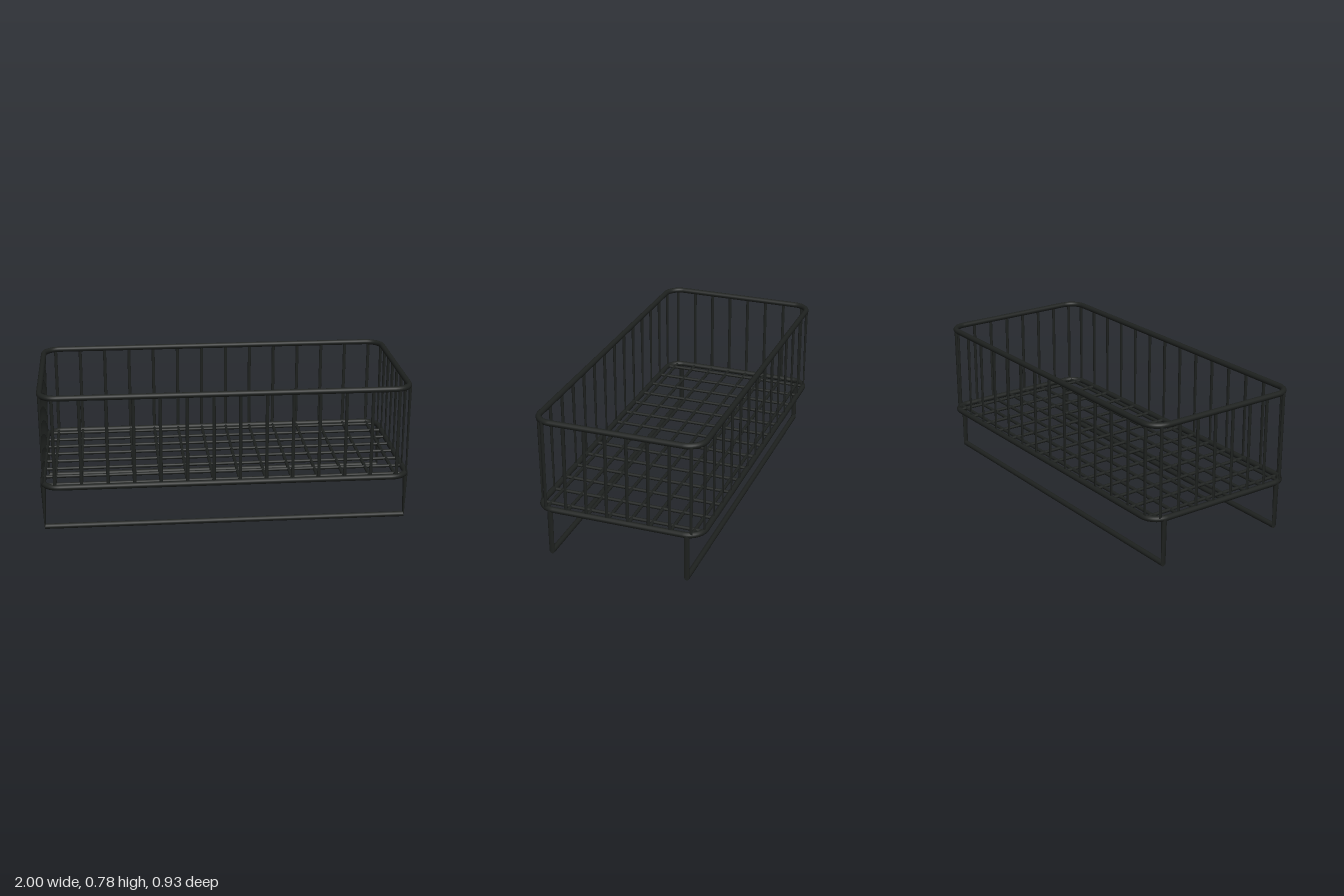
import * as THREE from 'three';

const HX = 0.985, HZ = 0.447;      // rim centre lines
const TOP = 0.768, BASE = 0.268;   // rim heights
const RIM = 0.0155, WIRE = 0.009, LEG = 0.0145, CORNER = 0.09;
const SKID_Y = 0.0155, SKID_Z = 0.375;

export function createModel() {
  const model = new THREE.Group();
  const metal = new THREE.MeshStandardMaterial({ color: 0x1e211f });

  const group = (name) => {
    const g = new THREE.Group();
    g.name = name;
    model.add(g);
    return g;
  };
  const add = (parent, name, geometry, x, y, z) => {
    const mesh = new THREE.Mesh(geometry, metal);
    mesh.name = name;
    mesh.position.set(x, y, z);
    parent.add(mesh);
    return mesh;
  };

  // Round rod along x or z
  const rod = (axis, r, length) => {
    const g = new THREE.CylinderGeometry(r, r, length, 12);
    return axis === 'x' ? g.rotateZ(Math.PI / 2) : g.rotateX(Math.PI / 2);
  };

  // Upright rod that flattens toward its lower end along one axis
  const upright = (axis, r, length, flat) => {
    const g = new THREE.CylinderGeometry(r, r, length, 12);
    const p = g.attributes.position;
    for (let i = 0; i < p.count; i++) {
      const s = THREE.MathUtils.lerp(flat, 1, p.getY(i) / length + 0.5);
      if (axis === 'x') p.setX(i, p.getX(i) * s);
      else p.setZ(i, p.getZ(i) * s);
    }
    g.computeVertexNormals();
    return g;
  };

  // Rounded rectangular rims
  for (const [name, y] of [['topRim', TOP], ['baseRim', BASE]]) {
    const rim = group(name);
    for (const s of [-1, 1]) {
      add(rim, 'longRail', rod('x', RIM, 2 * (HX - CORNER)), 0, y, s * HZ);
      add(rim, 'shortRail', rod('z', RIM, 2 * (HZ - CORNER)), s * HX, y, 0);
    }
    [[1, 1], [1, -1], [-1, -1], [-1, 1]].forEach(([sx, sz], k) => {
      const bend = new THREE.TorusGeometry(CORNER, RIM, 12, 10, Math.PI / 2)
        .rotateX(Math.PI / 2).rotateY(k * Math.PI / 2);
      add(rim, 'cornerBend', bend, sx * (HX - CORNER), y, sz * (HZ - CORNER));
    });
  }

  // U-shaped wires: a floor rod with an upright at each end
  const height = TOP - BASE, midY = (TOP + BASE) / 2;
  const crossWires = group('crossWires');
  for (let i = 0; i < 14; i++) {
    const x = -0.92 + i * 1.84 / 13;
    add(crossWires, 'floorWire', rod('z', WIRE, 2 * HZ), x, BASE, 0);
    for (const s of [-1, 1])
      add(crossWires, 'sideWire', upright('z', WIRE, height, 0.4), x, midY, s * HZ);
  }
  const longWires = group('longWires');
  for (let i = 0; i < 8; i++) {
    const z = -0.398 + i * 0.796 / 7;
    add(longWires, 'floorWire', rod('x', WIRE, 2 * HX), 0, BASE, z);
    for (const s of [-1, 1])
      add(longWires, 'endWire', upright('x', WIRE, height, 0.4), s * HX, midY, z);
  }

  // Skids: two legs joined by a floor bar, front and back
  for (const [name, z] of [['frontSkid', SKID_Z], ['backSkid', -SKID_Z]]) {
    const skid = group(name);
    add(skid, 'floorBar', rod('x', LEG, 2 * HX), 0, SKID_Y, z);
    for (const s of [-1, 1])
      add(skid, 'leg', upright('x', LEG, BASE - SKID_Y, 0.25), s * HX, (BASE + SKID_Y) / 2, z);
  }

  return model;
}
